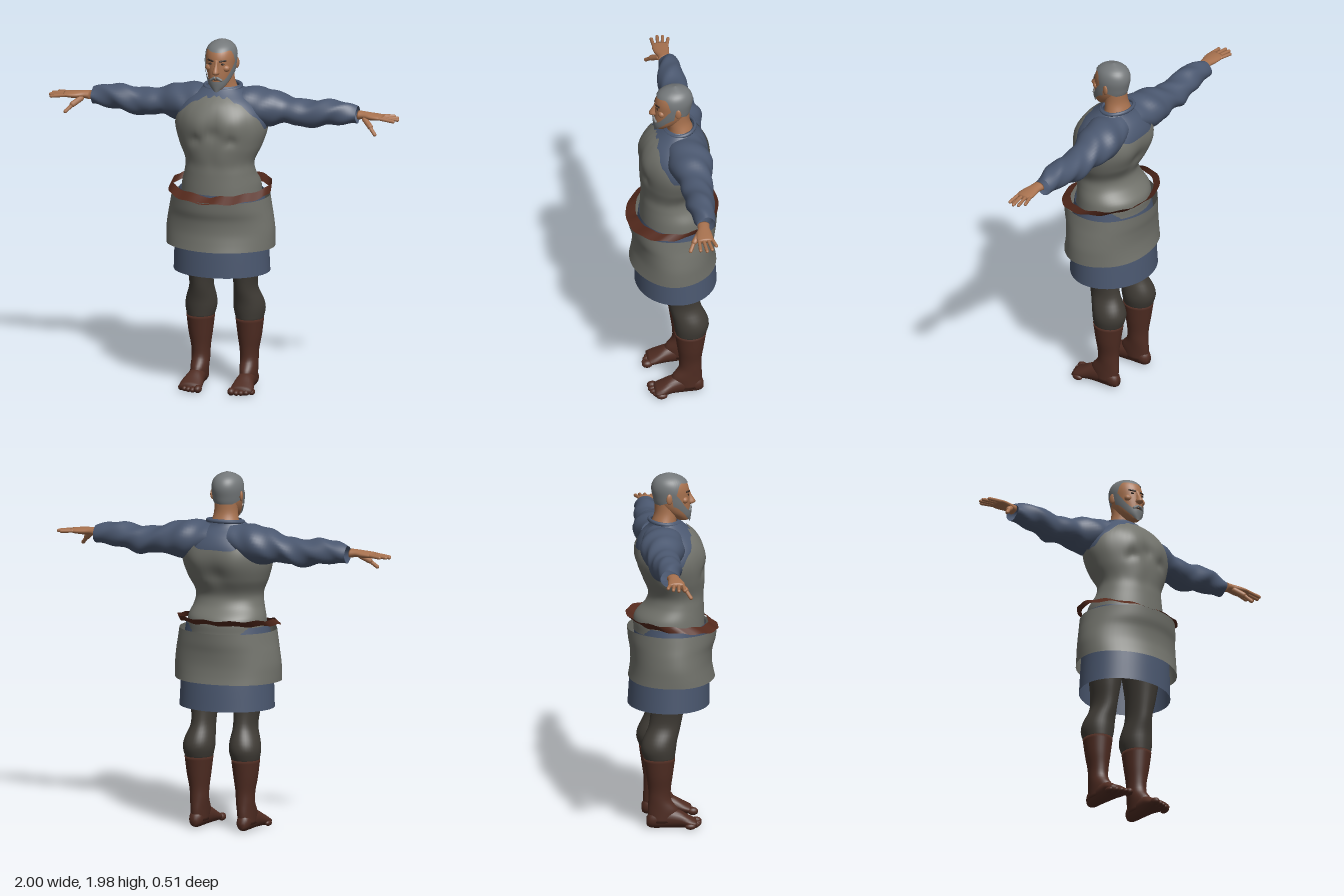
import * as THREE from 'three';

const mat = (name, color, side = THREE.FrontSide) => {
  const m = new THREE.MeshStandardMaterial({ color, side });
  m.name = name;
  return m;
};
const M = {
  skin: mat('skin', 0xa8724f),
  hair: mat('grey hair', 0x74787a, THREE.DoubleSide),
  tunic: mat('grey tunic', 0x72736c, THREE.DoubleSide),
  shirt: mat('blue cloth', 0x4b5870, THREE.DoubleSide),
  belt: mat('belt leather', 0x552a1d, THREE.DoubleSide),
  boot: mat('boot leather', 0x4f2c22),
  hose: mat('dark trousers', 0x403c36),
  dark: mat('dark features', 0x33261f),
};

// Smooth interpolation of cross-section rows [t, centreA, halfA, maxB, minB]
function sample(rows, t) {
  const n = rows.length;
  let i = 0;
  while (i < n - 2 && t > rows[i + 1][0]) i++;
  const slope = (k, c) => {
    const a = rows[Math.max(k - 1, 0)], b = rows[Math.min(k + 1, n - 1)];
    return (b[c] - a[c]) / (b[0] - a[0]);
  };
  const h = rows[i + 1][0] - rows[i][0];
  const s = Math.min(Math.max((t - rows[i][0]) / h, 0), 1), s2 = s * s, s3 = s2 * s;
  return [1, 2, 3, 4].map((c) =>
    (2 * s3 - 3 * s2 + 1) * rows[i][c] + (s3 - 2 * s2 + s) * h * slope(i, c) +
    (3 * s2 - 2 * s3) * rows[i + 1][c] + (s3 - s2) * h * slope(i + 1, c));
}

// Lofted elliptical rings along an axis; low/high may vary with the angle
const AXES = {
  y: (a, b, t) => new THREE.Vector3(a, t, b),
  x: (a, b, t) => new THREE.Vector3(t, b, a),
  z: (a, b, t) => new THREE.Vector3(b, a, t),
};
function loft(name, material, rows, o = {}) {
  const { axis = 'y', seg = 36, steps = 20, cap = false, from = 0, to = Math.PI * 2, mod, skip } = o;
  const low = o.low || (() => rows[0][0]), high = o.high || (() => rows[rows.length - 1][0]);
  const closed = to - from > 6.28, cols = closed ? seg : seg + 1;
  const pts = [], idx = [];
  for (let j = 0; j <= steps; j++) for (let i = 0; i < cols; i++) {
    const a = from + (to - from) * i / seg;
    const t = low(a) + (high(a) - low(a)) * j / steps;
    const [c, h, f, b] = sample(rows, t);
    const p = AXES[axis](c + h * Math.sin(a), (f + b) / 2 + (f - b) / 2 * Math.cos(a), t);
    if (mod) mod(p, a);
    pts.push(p);
  }
  for (let j = 0; j < steps; j++) for (let i = 0; i < seg; i++) {
    const k = (i + 1) % cols, q = [j * cols + i, j * cols + k, (j + 1) * cols + k, (j + 1) * cols + i];
    if (skip && q.every((v) => skip(pts[v]))) continue;
    idx.push(q[0], q[1], q[2], q[0], q[2], q[3]);
  }
  if (cap) for (const j of [0, steps]) {
    const c = new THREE.Vector3();
    for (let i = 0; i < cols; i++) c.addScaledVector(pts[j * cols + i], 1 / cols);
    pts.push(c);
    for (let i = 0; i < seg; i++) {
      const p = j * cols + i, q = j * cols + (i + 1) % cols;
      idx.push(pts.length - 1, j ? p : q, j ? q : p);
    }
  }
  const g = new THREE.BufferGeometry().setFromPoints(pts);
  g.setIndex(idx);
  g.computeVertexNormals();
  const m = new THREE.Mesh(g, material);
  m.name = name;
  return m;
}
function blob(name, material, [x, y, z], [sx, sy, sz]) {
  const m = new THREE.Mesh(new THREE.SphereGeometry(1, 16, 12), material);
  m.position.set(x, y, z);
  m.scale.set(sx, sy, sz);
  m.name = name;
  return m;
}
function rod(name, material, p, q, r) {
  const a = new THREE.Vector3(...p), b = new THREE.Vector3(...q), d = b.clone().sub(a);
  const m = new THREE.Mesh(new THREE.CapsuleGeometry(r, Math.max(d.length() - 2 * r, 0.001), 4, 10), material);
  m.position.copy(a).add(b).multiplyScalar(0.5);
  m.quaternion.setFromUnitVectors(new THREE.Vector3(0, 1, 0), d.normalize());
  m.name = name;
  return m;
}
const bell = (x, y, cx, cy, r) => Math.exp(-((x - cx) ** 2 + (y - cy) ** 2) / (r * r));

const TORSO = [[1.1, 0, .225, .18, -.21], [1.18, 0, .218, .178, -.205], [1.25, 0, .197, .174, -.145],
  [1.31, 0, .193, .168, -.13], [1.4, 0, .232, .178, -.175], [1.5, 0, .26, .178, -.2], [1.58, 0, .247, .165, -.2],
  [1.64, 0, .2, .132, -.175], [1.69, 0, .135, .075, -.13], [1.72, 0, .1, .045, -.12]];
const HEAD = [[1.715, 0, .025, .09, .035], [1.735, 0, .042, .097, 0], [1.76, 0, .058, .1, -.045], [1.8, 0, .072, .1, -.085],
  [1.85, 0, .08, .097, -.1], [1.9, 0, .082, .092, -.108], [1.94, 0, .07, .072, -.095], [1.965, 0, .042, .035, -.065],
  [1.975, 0, .001, -.014, -.016]];

function buildTorso(g) {
  // Chest muscles, shoulder blades and spine pressed through the cloth
  const muscles = (p) => {
    const x = Math.abs(p.x);
    if (p.z > 0) p.z += .014 * bell(x, p.y, .1, 1.53, .07) - .014 * bell(x, p.y, 0, 1.48, .04) -
      .013 * bell(x, p.y, .1, 1.445, .03) + .007 * bell(x, p.y, .06, 1.33, .06);
    else p.z += .02 * bell(x, p.y, 0, 1.42, .06) - .012 * bell(x, p.y, .12, 1.5, .07);
  };
  g.add(loft('tunicBody', M.tunic, TORSO, {
    seg: 64, steps: 44, mod: muscles,
    high: (a) => {
      const s = Math.abs(Math.sin(a)), rag = .008 * Math.sin(19 * Math.abs(Math.sin(a / 2)) * 2);
      return Math.cos(a) > 0 ? 1.675 - .185 * s ** 4 + rag
        : 1.49 + .08 * (1 - s ** 8) + .05 * Math.exp(-(((s - .72) / .2) ** 2)) * (1 - s ** 8) + rag * (1 - s);
    },
  }));
  // Shirt yoke, open where the sleeves pass
  const inner = TORSO.map(([t, c, h, f, b]) => [t, c, h - .008, f - .008, b + .008]);
  g.add(loft('shirtYoke', M.shirt, inner, {
    seg: 64, steps: 24, low: () => 1.4, mod: muscles,
    skip: (p) => Math.abs(p.x) > .12 && p.y > 1.53 && p.y < 1.67 && p.z > -.15 && p.z < .01,
  }));
  const collar = new THREE.Mesh(new THREE.TorusGeometry(.1, .011, 8, 36), M.shirt);
  collar.rotation.x = Math.PI / 2 + .12;
  collar.scale.y = .85;
  collar.position.set(0, 1.71, -.04);
  collar.name = 'collar';
  g.add(collar);
  // Skirts, open above and below
  const fold = (p, a) => { const w = 1 + .008 * Math.sin(5 * a + 9 * p.y); p.x *= w; p.z *= w; };
  g.add(loft('tunicSkirt', M.tunic, [[.83, 0, .303, .235, -.24], [.87, 0, .304, .226, -.233], [.93, 0, .303, .217, -.228],
    [1, 0, .293, .222, -.232], [1.05, 0, .283, .238, -.24], [1.112, 0, .272, .248, -.245]], { seg: 56, mod: fold }));
  g.add(loft('shirtSkirt', M.shirt, [[.68, 0, .268, .207, -.242], [.83, 0, .262, .205, -.232], [1, 0, .255, .198, -.215],
    [1.14, 0, .235, .185, -.2]], { seg: 56 }));
  // Belt: tilted band that sags at the front
  g.add(loft('belt', M.belt, [[0, 0, .285, .255, -.205], [1, 0, .276, .2, -.252]], {
    seg: 64, steps: 4,
    mod: (p, a) => {
      const k = (1 + Math.cos(a)) / 2, notch = .012 * Math.exp(-((Math.sin(a) / .12) ** 2)) * k;
      p.y = 1.152 - .045 * k * k + .004 * Math.sin(11 * a) + p.y * (.036 - notch);
    },
  }));
}

function buildHead(g) {
  g.add(loft('neck', M.skin, [[1.665, 0, .095, .03, -.125], [1.71, 0, .078, .025, -.11], [1.76, 0, .066, .03, -.095],
    [1.83, 0, .065, .03, -.095]], { steps: 12 }));
  g.add(loft('face', M.skin, HEAD, { steps: 28, cap: true }));
  const shell = (d) => HEAD.map(([t, c, h, f, b]) => [t, c, h + d, f + d, b - d]);
  // Cropped hair: high hairline in front, low at the nape
  const hair = shell(.005);
  hair[8] = [1.982, 0, .001, -.014, -.016];
  g.add(loft('hair', M.hair, hair, {
    seg: 48, steps: 18, low: (a) => 1.8 + .125 / (1 + Math.exp(-(Math.cos(a) - .3) * 9)) + .03 * Math.abs(Math.sin(a)) ** 3,
  }));
  // Beard following the jaw up to the ears
  g.add(loft('beard', M.hair, [[1.705, 0, .018, .1, .05], ...shell(.008).slice(1)], {
    seg: 40, steps: 12, from: -1.6, to: 1.6, low: (a) => 1.705 + .1 * Math.abs(Math.sin(a)) ** 6,
    high: (a) => 1.765 + .12 * Math.abs(Math.sin(a)) ** 5,
  }));
  g.add(loft('nose', M.skin, [[1.803, 0, .012, .115, .08], [1.812, 0, .02, .13, .08], [1.83, 0, .015, .124, .08],
    [1.855, 0, .01, .108, .08], [1.885, 0, .012, .096, .08]], { seg: 16, steps: 10, cap: true }));
  g.add(blob('mouth', M.dark, [0, 1.775, .1], [.02, .003, .004]));
  for (const s of [-1, 1]) {
    g.add(blob('eye', M.dark, [s * .033, 1.862, .088], [.013, .005, .004]));
    g.add(rod('eyebrow', M.dark, [s * .015, 1.877, .095], [s * .053, 1.882, .077], .005));
    g.add(rod('moustache', M.hair, [s * .002, 1.79, .105], [s * .036, 1.768, .094], .008));
    g.add(blob('cheekbone', M.skin, [s * .045, 1.835, .066], [.024, .02, .02]));
    const ear = blob('ear', M.skin, [s * .086, 1.85, -.02], [.009, .03, .018]);
    ear.rotation.y = s * -.3;
    g.add(ear);
  }
}

function buildArm(g) {
  g.add(loft('sleeve', M.shirt, [[.06, -.06, .1, 1.705, 1.54], [.2, -.07, .122, 1.705, 1.5], [.28, -.075, .106, 1.693, 1.495],
    [.35, -.08, .09, 1.667, 1.517], [.42, -.08, .086, 1.655, 1.505], [.48, -.08, .082, 1.65, 1.497],
    [.6, -.076, .074, 1.664, 1.523], [.69, -.08, .06, 1.653, 1.532], [.755, -.082, .048, 1.636, 1.54]], {
    axis: 'x', steps: 44,
    mod: (p, a) => { p.y += .004 * Math.sin(46 * p.x + 2 * a); p.z += .004 * Math.sin(38 * p.x + 3 * a); },
  }));
  // Hand, palm down
  g.add(loft('palm', M.skin, [[.765, -.065, .034, 1.618, 1.568], [.8, -.062, .033, 1.616, 1.574], [.84, -.058, .042, 1.612, 1.572],
    [.88, -.057, .046, 1.608, 1.574], [.91, -.058, .042, 1.604, 1.578]], { axis: 'x', seg: 20, cap: true }));
  const tips = [[.965, -.112], [.992, -.085], [1, -.055], [.985, -.02]];
  tips.forEach(([x, z], i) => {
    const base = [.885, 1.592, -.092 + i * .023], tip = [x, 1.588 - i * .003, z];
    g.add(rod('finger', M.skin, base, tip, .0095));
  });
  g.add(rod('thumbBase', M.skin, [.8, 1.585, -.045], [.86, 1.54, .005], .016));
  g.add(rod('thumbTip', M.skin, [.84, 1.555, -.008], [.89, 1.505, .027], .0105));
}

function buildLeg(g) {
  g.add(loft('trouserLeg', M.hose, [[.385, .14, .072, 0, -.16], [.45, .138, .087, .01, -.182], [.5, .135, .083, .017, -.174],
    [.57, .127, .066, .035, -.142], [.62, .126, .066, .045, -.132], [.7, .128, .076, .062, -.128], [.85, .125, .095, .09, -.145],
    [1.05, .115, .11, .1, -.16]], { steps: 30, cap: true }));
  g.add(loft('bootShaft', M.boot, [[.04, .142, .045, .01, -.14], [.1, .14, .048, .025, -.145], [.16, .138, .05, -.015, -.142],
    [.22, .138, .053, -.018, -.142], [.3, .14, .066, -.008, -.153], [.4, .14, .078, .006, -.168]], { steps: 22, cap: true }));
  g.add(loft('foot', M.boot, [[-.15, .045, .026, .163, .122], [-.13, .052, .045, .178, .107], [-.06, .062, .058, .185, .1],
    [.02, .055, .051, .193, .091], [.08, .038, .034, .21, .082], [.12, .028, .022, .207, .085]],
  { axis: 'z', seg: 24, cap: true }));
  for (let i = 0; i < 5; i++) {
    const r = i ? .017 : .022;
    g.add(blob('toe', M.boot, [.096 + i * .0255 + (i ? .003 : 0), r + .004, .125 - i * i * .0025], [r, r, .03]));
  }
}

export function createModel() {
  const model = new THREE.Group();
  model.name = 'beardedMan';
  const part = (name, build, mirror = false) => {
    const g = new THREE.Group();
    g.name = name;
    build(g);
    if (mirror) g.scale.x = -1;
    model.add(g);
  };
  part('torso', buildTorso);
  part('head', buildHead);
  part('leftArm', buildArm);
  part('rightArm', buildArm, true);
  part('leftLeg', buildLeg);
  part('rightLeg', buildLeg, true);
  return model;
}
